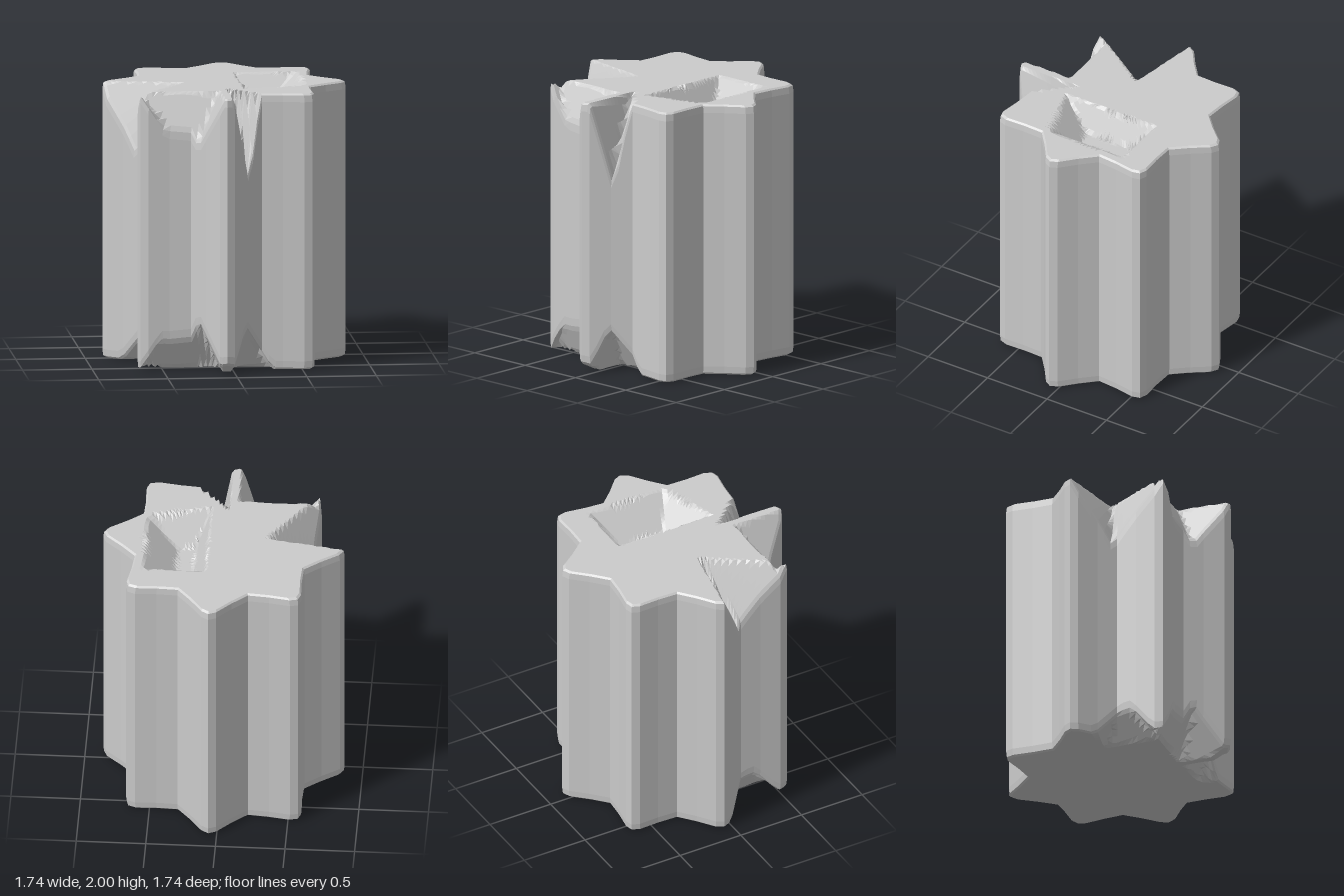
import * as THREE from 'three';

const SECTORS = 8, SPLIT = 3, RINGS = 24, TILT = 0.069;
// One flute from ridge to ridge: [fraction of the sector, radius]
const FLUTE = [[0, 0.873], [0.08, 0.847], [0.26, 0.742], [0.5, 0.667], [0.74, 0.742], [0.92, 0.847]];

// Star-shaped outline with flat panels, each split for finer damage
function outline() {
  const corners = [], pts = [];
  for (let s = 0; s < SECTORS; s++) {
    for (const [f, r] of FLUTE) {
      const a = TILT + (s + f) * Math.PI * 2 / SECTORS;
      corners.push(new THREE.Vector2(r * Math.cos(a), r * Math.sin(a)));
    }
  }
  corners.forEach((c, i) => {
    const n = corners[(i + 1) % corners.length];
    for (let k = 0; k < SPLIT; k++) pts.push(c.clone().lerp(n, k / SPLIT));
  });
  return pts;
}

// V-shaped cut that widens and deepens away from its apex
function wedge(x, z, px, pz, rimA, valley, rimB, slope) {
  const dx = x - px, dz = z - pz;
  const at = ([vx, vz]) => Math.atan2((vx - px) * dz - (vz - pz) * dx, (vx - px) * dx + (vz - pz) * dz);
  const a = at(rimA), b = -at(rimB), v = at(valley);
  if (a <= 0 || b <= 0) return 0;
  const t = v < 0 ? a / (a - v) : b / (b + v);
  return Math.hypot(dx, dz) * slope * t;
}

// Sloping chip over the front-right flute, used at both ends
const fluteChip = (x, z, start) =>
  Math.min((z - start) * 2.2, (x + 0.66) * 1.5, (-0.08 - x) * 2.2, 0.34);

// Hollow worn into the top
const hollow = (x, z) =>
  Math.min((x - 0.11) * 2, (z + 0.37) * 1.5, (0.56 - x) * 0.9, 0.36 - z - (x - 0.2) * 0.3, 0.2);

const topY = (x, z) => 2 - Math.max(0,
  hollow(x, z),
  fluteChip(x, z, 0.47),
  wedge(x, z, -0.3, 0.04, [-0.63, 0.53], [-0.63, 0.18], [-0.87, -0.06], 1.3),
  wedge(x, z, -0.02, 0.38, [0.22, 0.66], [0.11, 0.72], [-0.01, 0.82], 1.7));

const bottomY = (x, z) => Math.max(0,
  fluteChip(x, z, 0.49),
  Math.min((z - 0.5) * 1.7, (x + 0.02) * 3, (0.29 - x) * 1.6),
  Math.min((-0.5 - x) * 1.5, (z - 0.08) * 1.4, (0.5 - z) * 1.2),
  Math.min((z - 0.72) * 0.5, 0.07));

export function createModel() {
  const group = new THREE.Group();
  const rim = outline(), n = rim.length;
  const pos = [], index = [];
  const addRow = (scale, height) => {
    for (const p of rim) {
      const x = p.x * scale, z = p.y * scale;
      pos.push(x, height(x, z), z);
    }
  };

  // Underside, bevelled fluted wall, then the worn top
  const inset = 0.972;
  for (let i = 0; i <= RINGS; i++) addRow(inset * i / RINGS, bottomY);
  addRow(0.993, (x, z) => bottomY(x, z) + 0.012);
  addRow(1, (x, z) => bottomY(x, z) + 0.06);
  addRow(1, (x, z) => topY(x, z) - 0.06);
  addRow(0.993, (x, z) => topY(x, z) - 0.012);
  for (let i = RINGS; i >= 0; i--) addRow(inset * i / RINGS, topY);

  const rows = pos.length / 3 / n;
  for (let i = 0; i < rows - 1; i++) {
    for (let j = 0; j < n; j++) {
      const k = (j + 1) % n;
      const a = i * n + j, b = i * n + k, c = b + n, d = a + n;
      if (i < rows - 2) index.push(b, d, c);
      if (i > 0) index.push(a, d, b);
      else continue;
    }
  }
  const geometry = new THREE.BufferGeometry();
  geometry.setAttribute('position', new THREE.Float32BufferAttribute(pos, 3));
  geometry.setIndex(index);
  geometry.computeVertexNormals();

  const drum = new THREE.Mesh(geometry, new THREE.MeshStandardMaterial({ color: 0xcccccc, flatShading: true }));
  drum.name = 'flutedColumnDrum';
  group.add(drum);
  return group;
}
